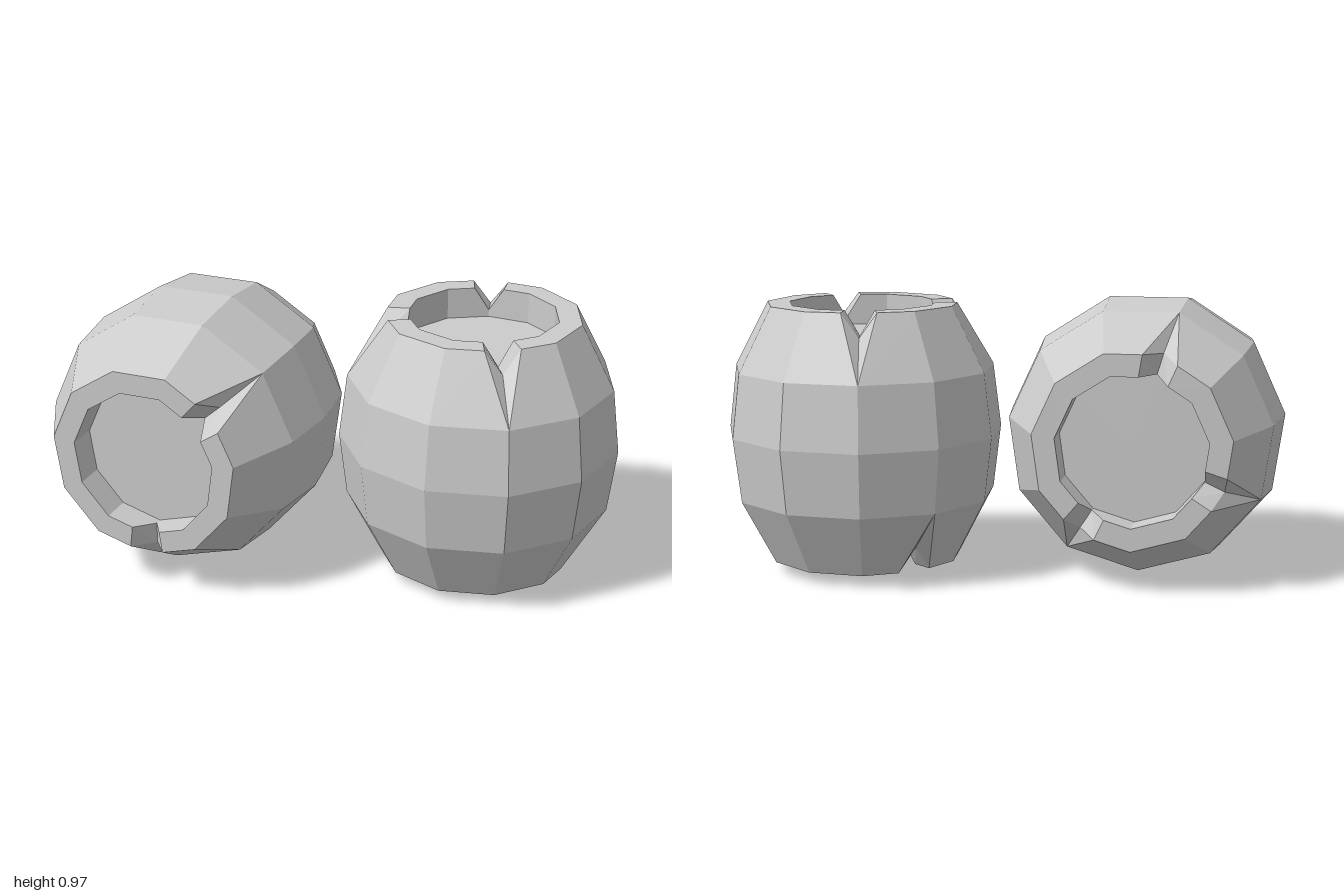
import * as THREE from 'three';

const SIDES = 11;
const STEP = (Math.PI * 2) / SIDES;
const HALF = 0.455; // half the barrel height
const NOTCH = 0.085; // depth of the V cuts in the rims
const RECESS = 0.11; // depth of the sunken lids

const point = (i, radius, y) =>
  new THREE.Vector3(Math.sin(i * STEP) * radius, y, -Math.cos(i * STEP) * radius);

// Low-poly barrel about the y axis; the two lists give the notched corners of each rim
function barrelGeometry(topNotches, bottomNotches) {
  const positions = [];
  const face = (corners, flip) => {
    const c = flip ? [...corners].reverse() : corners;
    for (let k = 1; k < c.length - 1; k++) {
      for (const p of [c[0], c[k], c[k + 1]]) positions.push(p.x, p.y, p.z);
    }
  };

  for (const [s, notches] of [[1, topNotches], [-1, bottomNotches]]) {
    for (let i = 0; i < SIDES; i++) {
      // Points down one edge of a stave: belly, shoulder, rim, lip, lid, centre
      const edge = (a, b) => {
        const cut = notches.includes(a % SIDES);
        const rim = point(a, 0.345, s * HALF);
        const lip = point(a, 0.265, s * HALF);
        if (cut) {
          rim.lerp(point(b, 0.345, s * HALF), 0.33);
          lip.lerp(point(b, 0.265, s * HALF), 0.36);
        }
        const line = [
          point(a, 0.494, 0), point(a, 0.466, s * 0.227), rim, lip,
          point(a, 0.265, s * (HALF - RECESS)), point(a, 0, s * (HALF - RECESS)),
        ];
        return { line, cut, a };
      };
      const start = edge(i, i + 1);
      const end = edge(i + 1, i);
      for (let k = 0; k < 5; k++) {
        face([end.line[k], start.line[k], start.line[k + 1], end.line[k + 1]], s < 0);
      }
      // Sloping sides of the V notch
      for (const { line, cut, a } of [start, end]) {
        if (!cut) continue;
        const flip = (s < 0) !== (a !== i);
        const outer = point(a, 0.34, s * (HALF - NOTCH));
        const inner = point(a, 0.265, s * (HALF - NOTCH));
        face([line[1], outer, line[2]], flip);
        face([outer, inner, line[3], line[2]], flip);
        face([inner, line[4], line[3]], flip);
      }
    }
  }
  const geometry = new THREE.BufferGeometry();
  geometry.setAttribute('position', new THREE.Float32BufferAttribute(positions, 3));
  geometry.computeVertexNormals();
  return geometry;
}

export function createModel() {
  const group = new THREE.Group();
  group.name = 'barrels';
  const material = new THREE.MeshStandardMaterial({ color: 0xcccccc, flatShading: true });

  // Standing barrel
  const upright = new THREE.Mesh(barrelGeometry([0, 5, 8], [3, 10]), material);
  upright.name = 'uprightBarrel';
  upright.position.set(0.512, 0.496, 0.02);
  group.add(upright);

  // Same barrel lying on its side, rolled by one stave and turned slightly
  const lying = new THREE.Mesh(upright.geometry.clone(), material);
  lying.geometry.rotateY(-STEP).rotateX(-Math.PI / 2).rotateY(-0.222);
  lying.name = 'lyingBarrel';
  lying.position.set(-0.5, 0.494, 0);
  group.add(lying);

  return group;
}
